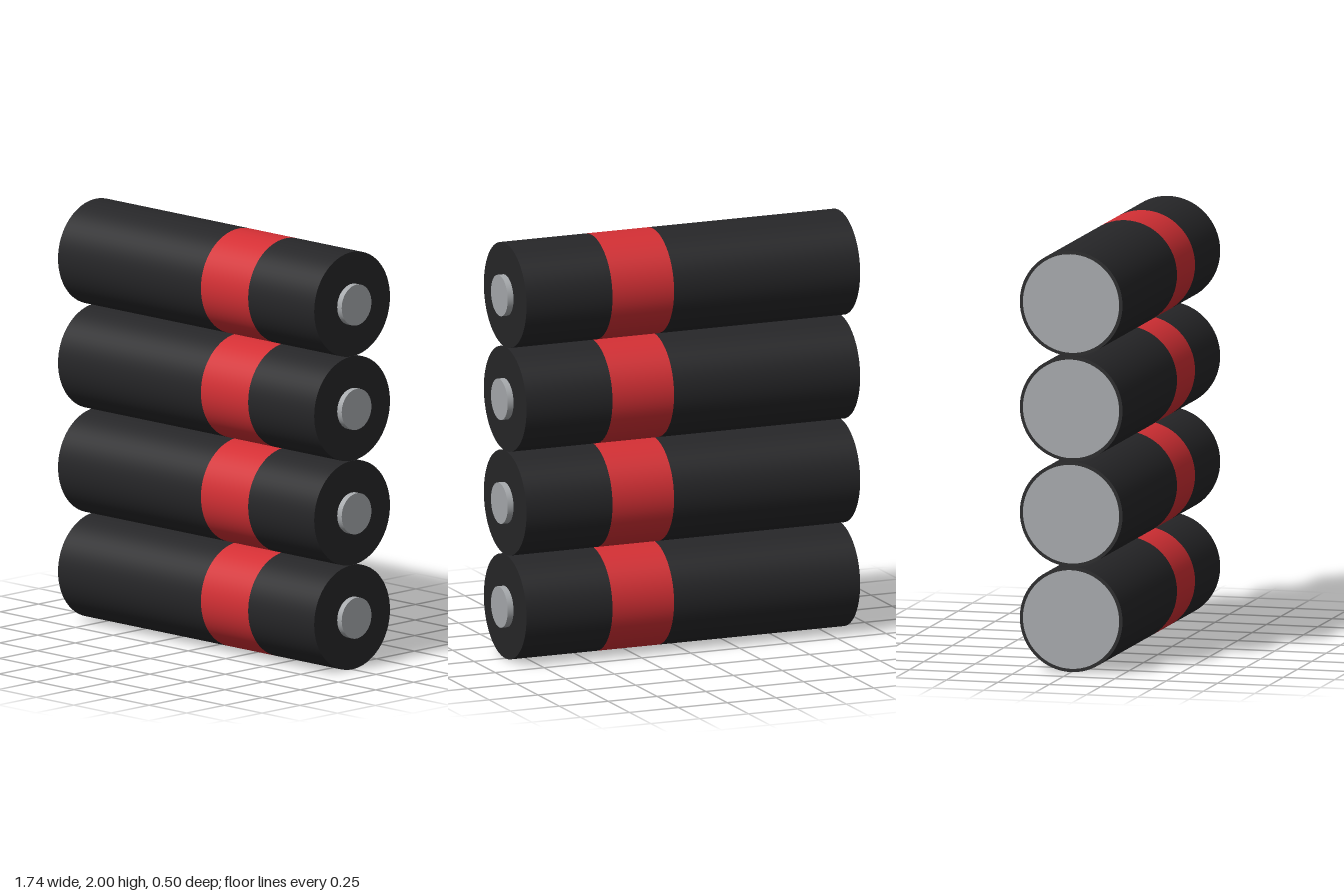
import * as THREE from 'three';

const RADIUS = 0.25;
const SIDES = 64;

const black = new THREE.MeshStandardMaterial({ color: 0x262628 });
const red = new THREE.MeshStandardMaterial({ color: 0xd32f34 });
const metal = new THREE.MeshStandardMaterial({ color: 0xa6a9ac });

// Cylinder lying along x, from x0 to x1
function rod(name, x0, x1, radius, material, open = false) {
  const geometry = new THREE.CylinderGeometry(radius, radius, x1 - x0, SIDES, 1, open);
  geometry.rotateZ(-Math.PI / 2);
  geometry.translate((x0 + x1) / 2, 0, 0);
  const mesh = new THREE.Mesh(geometry, material);
  mesh.name = name;
  return mesh;
}

function createBattery() {
  const battery = new THREE.Group();
  battery.add(
    // Wrapper: dark sleeve split by a flush coloured band
    rod('longSleeve', -0.867, 0.085, RADIUS, black),
    rod('colourBand', 0.085, 0.4, RADIUS, red, true),
    rod('shortSleeve', 0.4, 0.84, RADIUS, black),
    // Raised positive button and flat negative plate
    rod('positiveTerminal', 0.83, 0.87, 0.098, metal),
    rod('negativeTerminal', -0.87, -0.85, 0.234, metal)
  );
  return battery;
}

export function createModel() {
  const model = new THREE.Group();
  model.name = 'batteryStack';
  // Four cells stacked upright, touching each other
  for (let i = 0; i < 4; i++) {
    const battery = createBattery();
    battery.name = `battery${i + 1}`;
    battery.position.y = RADIUS * (2 * i + 1);
    model.add(battery);
  }
  return model;
}
